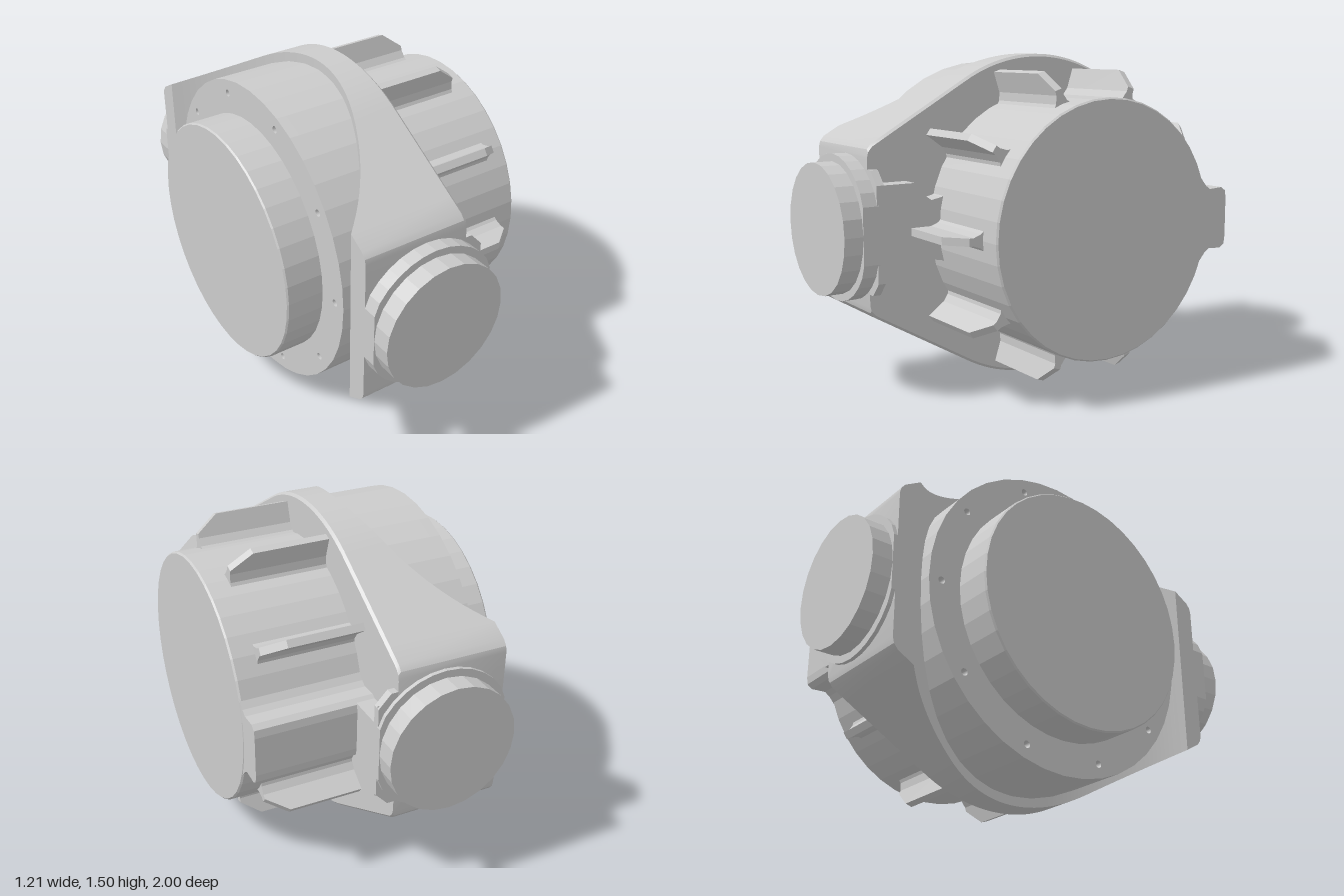
import * as THREE from 'three';
import { toCreasedNormals } from 'three/addons/utils/BufferGeometryUtils.js';

const smooth = new THREE.MeshStandardMaterial({ color: 0xcccccc });
const faceted = new THREE.MeshStandardMaterial({ color: 0xcccccc, flatShading: true });

function part(name, geometry, parent, material = faceted) {
  const mesh = new THREE.Mesh(geometry, material);
  mesh.name = name;
  parent.add(mesh);
  return mesh;
}

const shapeOf = pts => new THREE.Shape(pts.map(p => new THREE.Vector2(...p)));

function extrude(shape, depth, curveSegments = 12) {
  return new THREE.ExtrudeGeometry(shape, { depth, bevelEnabled: false, curveSegments });
}

// Extrude a (z, y) outline along x from x0 to x1
function extrudeX(shape, x0, x1, curveSegments) {
  return extrude(shape, x1 - x0, curveSegments).rotateY(-Math.PI / 2).translate(x1, 0, 0);
}

// Outline symmetric in its second coordinate, from its upper half
const mirrored = half => shapeOf([...half, ...half.map(([a, b]) => [a, -b]).reverse()]);

// Round-topped housing with straight tangent flanks, scooped out on the -x side
function housingGeometry() {
  const R = 0.75, end = 0.87, front = 0.06, bevel = 0.012;
  const stations = [[-end, 0.33], [-0.864, 0.355], [-0.845, 0.378]];
  for (let i = 0; i <= 48; i++) {
    const z = -0.77 + 1.54 * i / 48, a = Math.abs(z);
    stations.push([z, a < R / 2 ? Math.sqrt(R * R - a * a) : (R - a / 2) / 0.866]);
  }
  stations.push([0.845, 0.378], [0.864, 0.355], [end, 0.33]);

  const pos = [], index = [], n = 6;
  stations.forEach(([z, h], s) => {
    const back = Math.max(-0.44, -1.08 + Math.sqrt(1 - z * z));
    const ring = [[back, h], [front - bevel, h], [front, h - bevel],
      [front, bevel - h], [front - bevel, -h], [back, -h]];
    ring.forEach(([x, y]) => pos.push(x, y, z));
    if (s === 0) return;
    for (let j = 0; j < n; j++) {
      const a = (s - 1) * n + j, b = (s - 1) * n + (j + 1) % n;
      index.push(a, a + n, b, b, a + n, b + n);
    }
  });
  const last = (stations.length - 1) * n;
  for (let k = 1; k < n - 1; k++) {
    index.push(0, k, k + 1, last, last + k + 1, last + k);
  }
  const g = new THREE.BufferGeometry();
  g.setAttribute('position', new THREE.Float32BufferAttribute(pos, 3));
  g.setIndex(index);
  return toCreasedNormals(g, 0.4);
}

export function createModel() {
  const model = new THREE.Group();
  model.name = 'axialHousing';
  // Everything is laid out around the main axis
  const core = new THREE.Group();
  core.name = 'core';
  core.position.set(0, 0.75, -0.02);
  model.add(core);

  part('housing', housingGeometry(), core, smooth);

  // Turned body: rear boss, flange and front drum
  const profile = [[0, -0.605], [0.547, -0.605], [0.553, -0.598], [0.553, -0.385], [0.708, -0.385],
    [0.708, 0], [0.572, 0], [0.572, 0.597], [0.565, 0.605], [0, 0.605]];
  const lathe = new THREE.LatheGeometry(profile.map(p => new THREE.Vector2(...p)), 40);
  part('turnedBody', lathe.rotateZ(-Math.PI / 2), core);

  // Flange face with a circle of bolt holes
  const plate = new THREE.Shape().absarc(0, 0, 0.708, 0, Math.PI * 2);
  plate.holes.push(new THREE.Path().absarc(0, 0, 0.54, 0, Math.PI * 2, true));
  for (let i = 0; i < 10; i++) {
    const a = (18 + 36 * i) * Math.PI / 180;
    plate.holes.push(new THREE.Path().absarc(0.645 * Math.sin(a), 0.645 * Math.cos(a), 0.016, 0, Math.PI * 2, true));
  }
  part('flangePlate', extrudeX(plate, -0.432, -0.385, 20), core);

  // Radial cooling fins with filleted roots; the -z place is taken by the rib
  const t = 0.034;
  const finGeo = extrude(shapeOf([[0.04, 0.55], [0.5, 0.55], [0.5, 0.635], [0.405, 0.71], [0.04, 0.71]]), t)
    .translate(0, 0, -t / 2);
  const rootGeo = extrudeX(shapeOf([[-0.055, 0.555], [0.055, 0.555], [0.03, 0.58], [0.017, 0.615],
    [-0.017, 0.615], [-0.03, 0.58]]), 0.04, 0.5);
  for (let i = 0; i < 10; i++) {
    if (i === 7) continue;
    const fin = new THREE.Group();
    fin.name = 'fin';
    fin.rotation.x = (18 + 36 * i) * Math.PI / 180;
    part('finBlade', finGeo, fin);
    part('finRoot', rootGeo, fin);
    core.add(fin);
  }

  // Long rib on the -z side of the drum
  part('sideRib', extrudeX(mirrored([[-0.45, 0.2], [-0.535, 0.19], [-0.565, 0.155], [-0.59, 0.138],
    [-0.66, 0.142], [-0.685, 0.125], [-0.69, 0.09]]), 0.04, 0.602), core);

  // Webs joining the drum to the end bosses
  part('frontWeb', extrudeX(mirrored([[0.5, 0.17], [0.56, 0.14], [0.61, 0.13], [0.64, 0.15],
    [0.66, 0.19], [0.69, 0.21], [0.86, 0.21]]), 0.04, 0.145), core);
  part('rearWeb', extrudeX(mirrored([[-0.6, 0.13], [-0.83, 0.13], [-0.845, 0.15], [-0.86, 0.22]]),
    0.04, 0.145), core);

  // Round end bosses at +z and -z
  const clipped = [];
  for (let i = 0; i < 32; i++) {
    const a = i * Math.PI / 16;
    clipped.push([THREE.MathUtils.clamp(0.325 * Math.cos(a), -0.293, 0.293), 0.325 * Math.sin(a)]);
  }
  const bracket = mirrored([[0, 0.27], [0.09, 0.27], [0.145, 0.21]]);
  // In core space: inner face, step and outer face of each boss
  for (const [side, inner, step, outer] of [[1, 0.86, 0.935, 1.02], [-1, 0.86, 0.888, 0.98]]) {
    const end = new THREE.Group();
    end.name = side > 0 ? 'frontBoss' : 'rearBoss';
    core.add(end);
    const place = (g, a, b) => g.translate(0, 0, side > 0 ? a : -b);
    part('bossCollar', place(extrude(shapeOf(clipped), step - inner), inner, step), end)
      .position.x = -0.147;
    const cap = new THREE.CylinderGeometry(0.292, 0.292, outer - inner, 24).rotateX(Math.PI / 2);
    part('bossCap', cap.translate(0, 0, side * (inner + outer) / 2), end).position.x = -0.147;
    part('bossBracket', place(extrude(bracket, 0.035), 0.835, 0.87), end);
  }
  return model;
}
